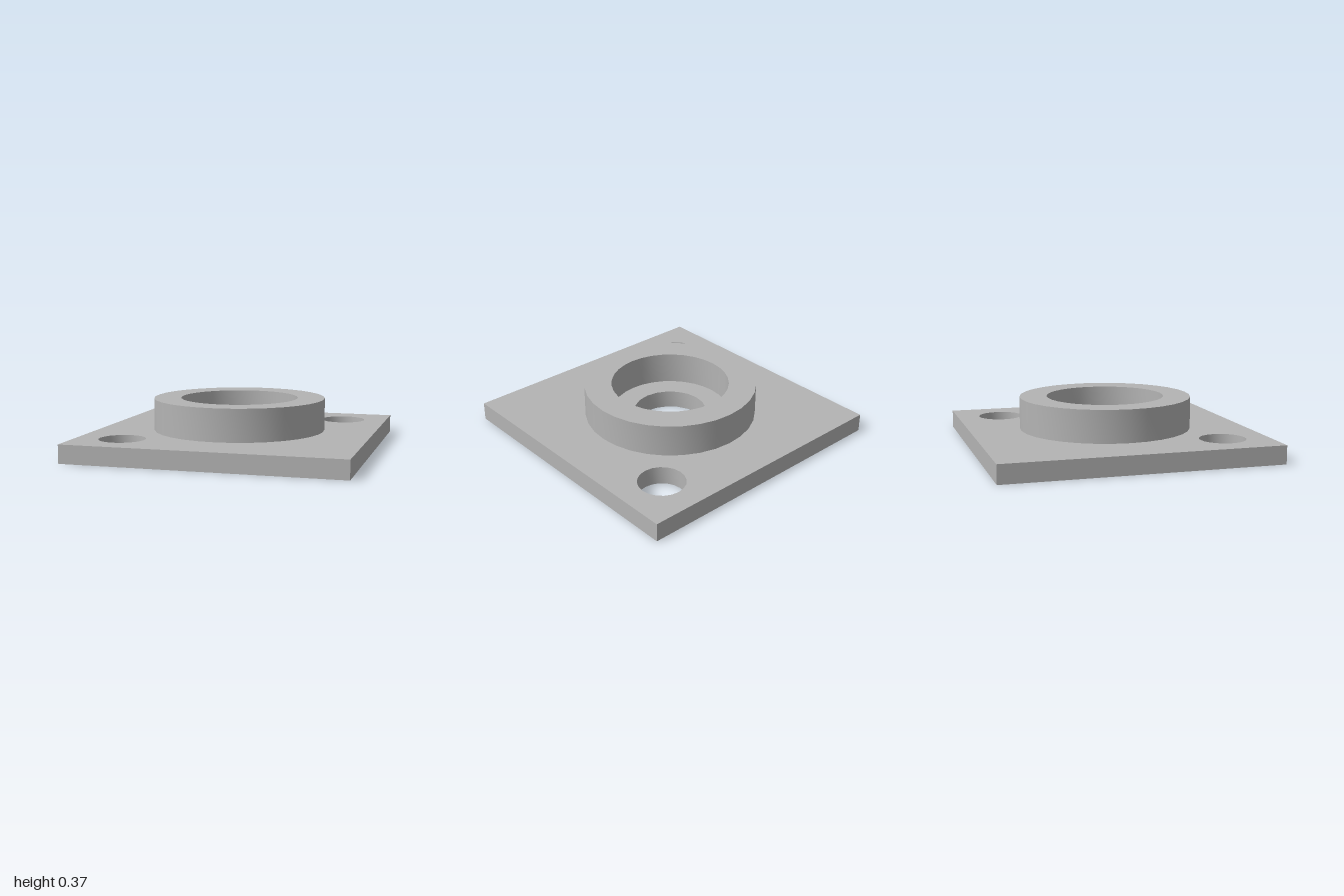
import * as THREE from 'three';
import { toCreasedNormals } from 'three/addons/utils/BufferGeometryUtils.js';

const PLATE_H = 0.134;
const RING_TOP = 0.37;

function circle(PathType, x, y, r) {
  const path = new PathType();
  path.absarc(x, y, r, 0, Math.PI * 2, false);
  return path;
}

// Extrude a plan shape upwards; round walls smooth, rims sharp
function extrudeUp(shape, height, curveSegments) {
  const geometry = new THREE.ExtrudeGeometry(shape, { depth: height, bevelEnabled: false, curveSegments });
  geometry.rotateX(-Math.PI / 2);
  return toCreasedNormals(geometry, Math.PI / 6);
}

export function createModel() {
  const group = new THREE.Group();
  group.name = 'flangeMount';
  const metal = new THREE.MeshStandardMaterial({ color: 0xb4b4b4 });
  metal.name = 'grey metal';

  // Square plate with a central bore and two diagonal bolt holes
  const square = new THREE.Shape([
    new THREE.Vector2(-1, -1), new THREE.Vector2(1, -1),
    new THREE.Vector2(1, 1), new THREE.Vector2(-1, 1),
  ]);
  square.holes.push(circle(THREE.Path, 0, 0, 0.267));
  for (const s of [-1, 1]) square.holes.push(circle(THREE.Path, s * 0.667, s * 0.667, 0.167));
  const plate = new THREE.Mesh(extrudeUp(square, PLATE_H, 10), metal);
  plate.name = 'basePlate';
  group.add(plate);

  // Raised collar around the bore
  const annulus = circle(THREE.Shape, 0, 0, 0.633);
  annulus.holes.push(circle(THREE.Path, 0, 0, 0.433));
  const collar = new THREE.Mesh(extrudeUp(annulus, RING_TOP - PLATE_H, 16), metal);
  collar.name = 'collar';
  collar.position.y = PLATE_H;
  group.add(collar);

  return group;
}
